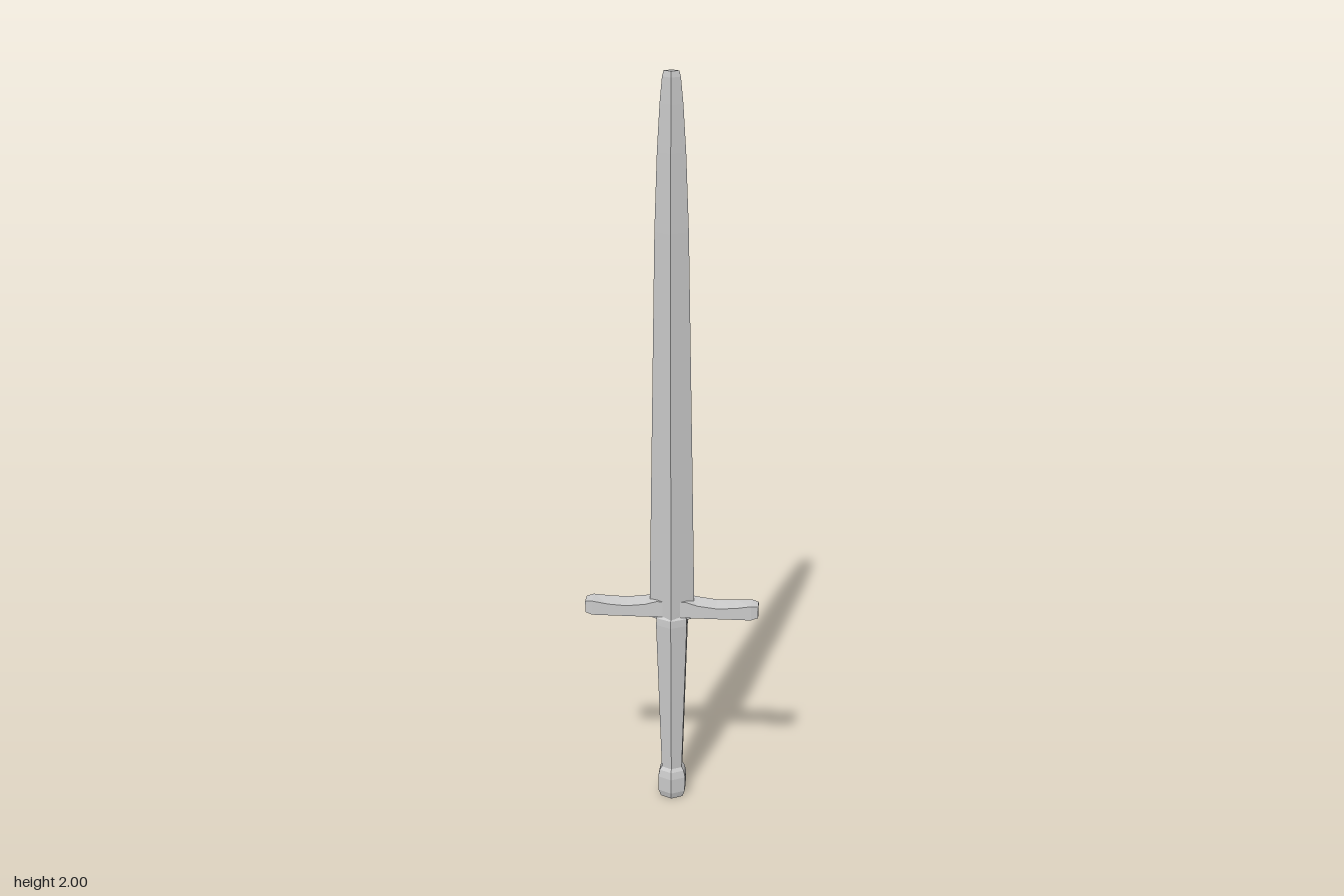
import * as THREE from 'three';

const material = new THREE.MeshStandardMaterial({ color: 0xcccccc, flatShading: true });

// Joins rings of [x, y, z] points, counter-clockwise seen from the last ring, into a capped solid
function loft(name, rings) {
  const n = rings[0].length;
  const index = [];
  rings.slice(1).forEach((_, k) => {
    for (let j = 0; j < n; j++) {
      const a = k * n + j, b = k * n + (j + 1) % n;
      index.push(a, b, b + n, a, b + n, a + n);
    }
  });
  const end = (rings.length - 1) * n;
  for (let j = 1; j < n - 1; j++) index.push(0, j + 1, j, end, end + j, end + j + 1);
  const indexed = new THREE.BufferGeometry();
  indexed.setAttribute('position', new THREE.Float32BufferAttribute(rings.flat(2), 3));
  indexed.setIndex(index);
  const geometry = indexed.toNonIndexed();
  geometry.computeVertexNormals();
  const mesh = new THREE.Mesh(geometry, material);
  mesh.name = name;
  return mesh;
}

// Diamond section with cutting edges at the sides
const diamond = ([y, w, back, front]) => {
  const mid = (back + front) / 2;
  return [[w, y, mid], [0, y, back], [-w, y, mid], [0, y, front]];
};

// Six-sided section with ridges at front and back
const hexagon = ([y, w, back, front]) => {
  const mid = (back + front) / 2, q = (front - back) / 4;
  return [[w, y, mid + q], [w, y, mid - q], [0, y, back],
    [-w, y, mid - q], [-w, y, mid + q], [0, y, front]];
};

// Four-cornered section across the guard
const bar = ([x, bottom, topBack, topFront, back, front]) => [
  [x, topBack, back], [x, topFront, front], [x, bottom, front], [x, bottom, back],
];

export function createModel() {
  const group = new THREE.Group();
  group.name = 'sword';

  // Blade: y, half width, back ridge z, front ridge z
  group.add(loft('blade', [
    [0.54, 0.06, -0.036, 0.041],
    [0.62, 0.059, -0.034, 0.041],
    [1.0, 0.053, -0.027, 0.041],
    [1.6, 0.043, -0.013, 0.041],
    [1.8, 0.036, -0.006, 0.039],
    [1.92, 0.029, 0, 0.036],
    [1.985, 0.023, 0.004, 0.033],
    [2.0, 0.019, 0.006, 0.03],
  ].map(diamond)));

  // Crossguard: x, bottom y, back top y, front top y, back z, front z; mirrored
  const half = [
    [0.04, 0.55, 0.597, 0.595, -0.022, 0.026],
    [0.07, 0.55, 0.592, 0.586, -0.022, 0.026],
    [0.12, 0.55, 0.586, 0.58, -0.021, 0.026],
    [0.17, 0.55, 0.588, 0.583, -0.019, 0.026],
    [0.212, 0.55, 0.592, 0.59, -0.017, 0.026],
    [0.231, 0.555, 0.587, 0.587, -0.013, 0.021],
  ];
  const mirrored = half.map(([x, ...rest]) => [-x, ...rest]).reverse();
  group.add(loft('crossguard', [...mirrored, ...half].map(bar)));

  // Grip: y, half width, back z, front z
  group.add(loft('grip', [
    [0.08, 0.027, -0.032, 0.025],
    [0.3, 0.034, -0.037, 0.035],
    [0.525, 0.041, -0.042, 0.044],
    [0.545, 0.04, -0.041, 0.043],
    [0.555, 0.033, -0.034, 0.036],
  ].map(hexagon)));

  // Pommel
  group.add(loft('pommel', [
    [0, 0.03, -0.037, 0.03],
    [0.018, 0.036, -0.043, 0.035],
    [0.06, 0.037, -0.044, 0.035],
    [0.08, 0.033, -0.039, 0.031],
    [0.092, 0.026, -0.031, 0.024],
  ].map(hexagon)));

  return group;
}
